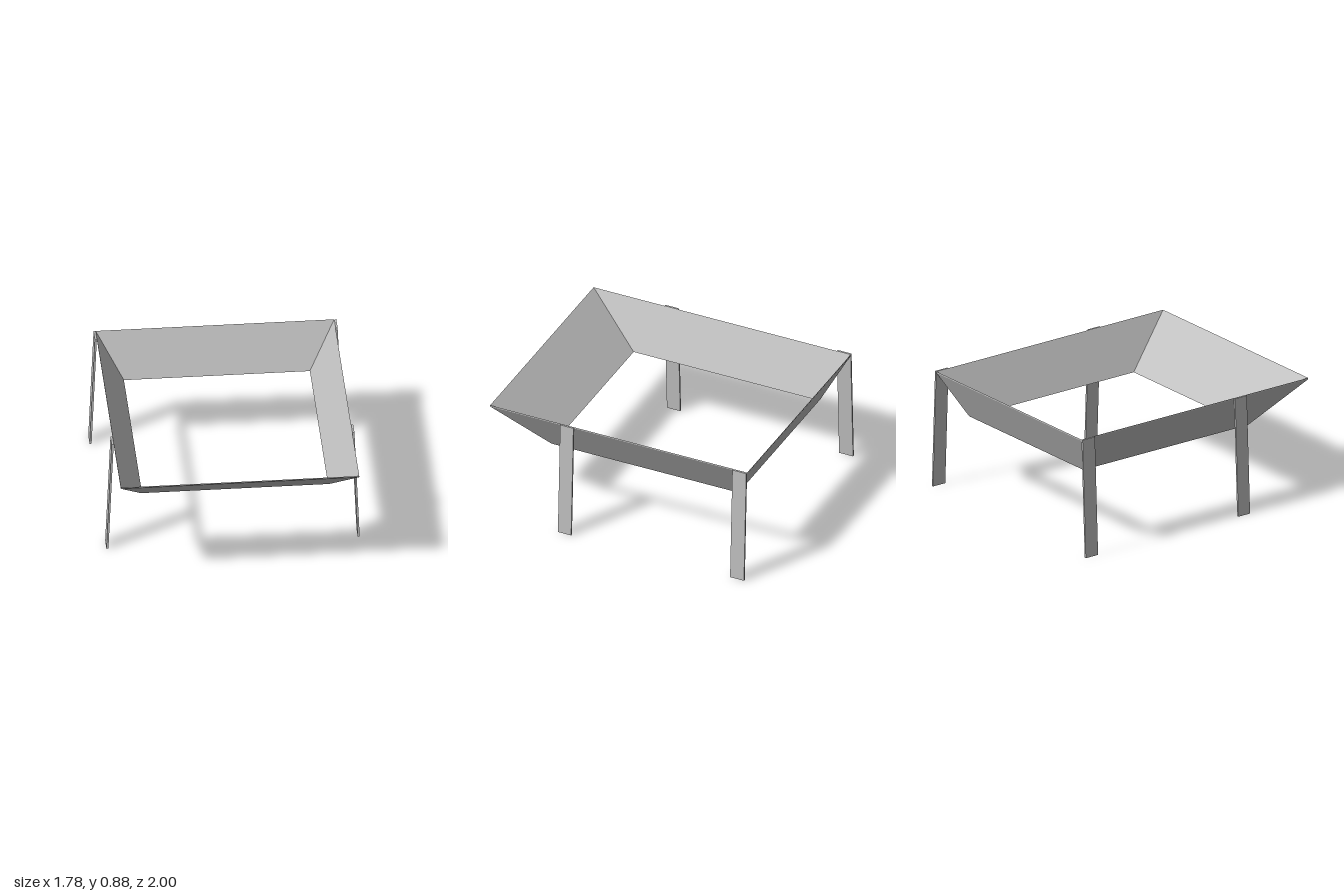
import * as THREE from 'three';

const steel = new THREE.MeshStandardMaterial({ color: 0xc0c0c0 });
steel.name = 'light grey steel';

// Rectangular ring of four corners, counter-clockwise seen from above
const ring = (x, back, front, y) => [[x, y, front], [x, y, back], [-x, y, back], [-x, y, front]];

// Thin-walled open hopper: outer wall, lower edge, inner wall, rim
function createHopper() {
  const rings = [
    ring(0.84, -1, 1, 0.865),
    ring(0.663, -0.849, 0.611, 0.562),
    ring(0.655, -0.842, 0.6, 0.555),
    ring(0.84, -1, 1, 0.875),
  ];
  const positions = [];
  rings.forEach((a, i) => {
    const b = rings[(i + 1) % rings.length];
    for (let k = 0; k < 4; k++) {
      const n = (k + 1) % 4;
      positions.push(...a[k], ...b[k], ...b[n], ...a[k], ...b[n], ...a[n]);
    }
  });
  const geometry = new THREE.BufferGeometry();
  geometry.setAttribute('position', new THREE.Float32BufferAttribute(positions, 3));
  geometry.computeVertexNormals();
  const hopper = new THREE.Mesh(geometry, steel);
  hopper.name = 'hopper';
  return hopper;
}

// Flat bar leg that splays outwards towards the ground
function createLeg(side, back, front, name) {
  const height = 0.875;
  const geometry = new THREE.BoxGeometry(0.014, height, front - back);
  const p = geometry.attributes.position;
  for (let i = 0; i < p.count; i++) {
    const splay = p.getY(i) > 0 ? 0.848 : 0.885;
    p.setX(i, p.getX(i) + side * splay);
  }
  geometry.translate(0, height / 2, (back + front) / 2);
  geometry.deleteAttribute('normal');
  const flat = geometry.toNonIndexed();
  flat.computeVertexNormals();
  const leg = new THREE.Mesh(flat, steel);
  leg.name = name;
  return leg;
}

export function createModel() {
  const model = new THREE.Group();
  model.name = 'hopperStand';
  model.add(createHopper());
  for (const side of [1, -1]) {
    const label = side > 0 ? 'Left' : 'Right';
    model.add(createLeg(side, 0.345, 0.448, `front${label}Leg`));
    model.add(createLeg(side, -1, -0.892, `back${label}Leg`));
  }
  return model;
}
